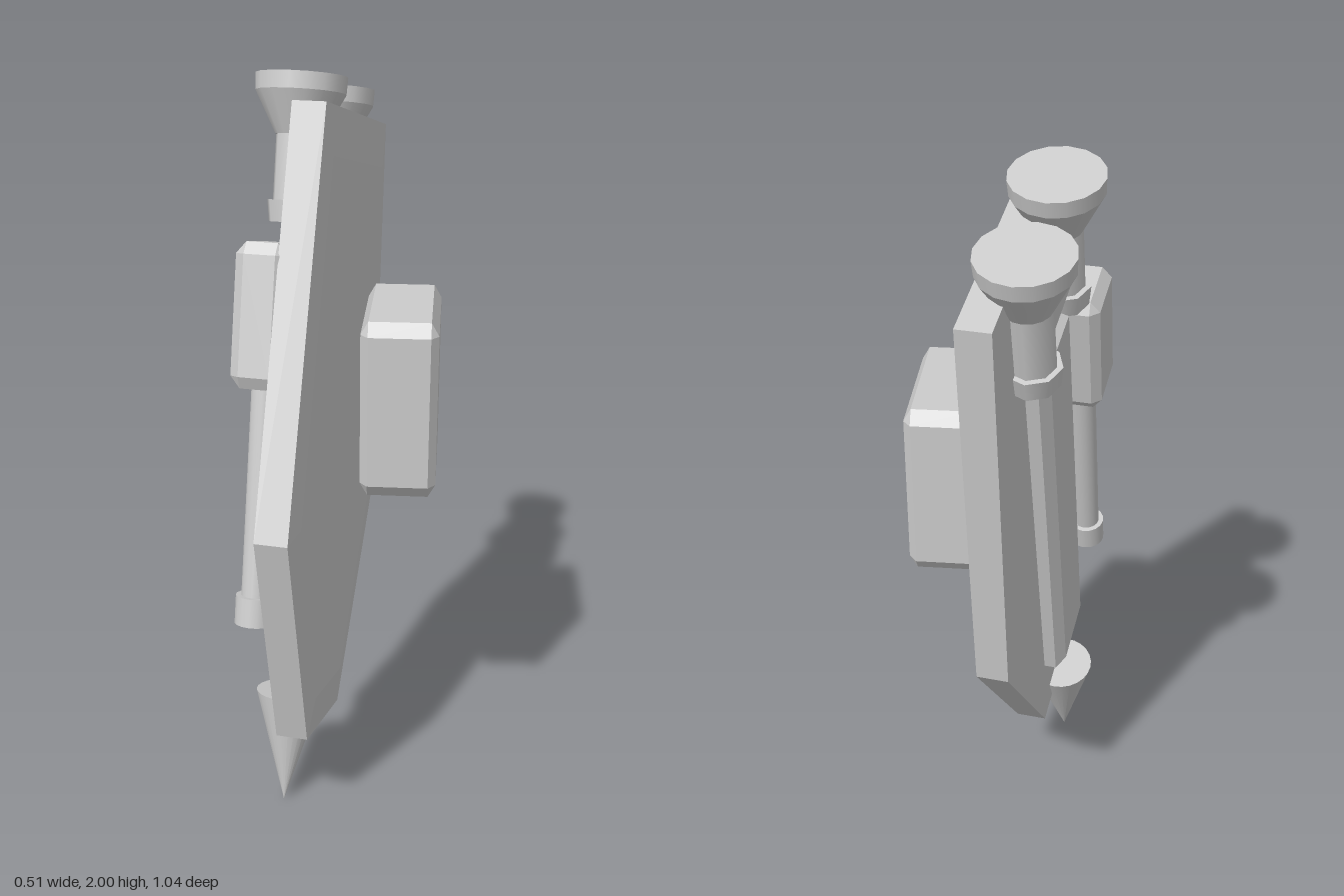
import * as THREE from 'three';
import { ConvexGeometry } from 'three/addons/geometries/ConvexGeometry.js';

export function createModel() {
  const model = new THREE.Group();
  model.name = 'model';
  const grey = new THREE.MeshStandardMaterial({ color: 0xcccccc });
  grey.name = 'light grey';

  const add = (parent, name, geometry, x = 0, y = 0, z = 0) => {
    const mesh = new THREE.Mesh(geometry, grey);
    mesh.name = name;
    mesh.position.set(x, y, z);
    parent.add(mesh);
    return mesh;
  };
  const cyl = (top, bottom, y0, y1, sides = 16) =>
    new THREE.CylinderGeometry(top, bottom, y1 - y0, sides).translate(0, (y0 + y1) / 2, 0);

  // Box with chamfered edges; the chamfer has its own depth on each axis
  const chamferBox = (w, h, d, cx, cy, cz) => {
    const pts = [];
    for (const sx of [-1, 1]) for (const sy of [-1, 1]) for (const sz of [-1, 1]) {
      const a = w / 2, b = h / 2, c = d / 2;
      pts.push(new THREE.Vector3(sx * a, sy * (b - cy), sz * (c - cz)));
      pts.push(new THREE.Vector3(sx * (a - cx), sy * b, sz * (c - cz)));
      pts.push(new THREE.Vector3(sx * (a - cx), sy * (b - cy), sz * c));
    }
    return new ConvexGeometry(pts);
  };

  // Floating bevelled block beside the hull
  add(model, 'sideBlock', chamferBox(0.2, 0.48, 0.393, 0.02, 0.035, 0.025), 0.15, 1.16, -0.021);

  // Everything else shares the tilt of the hull plate
  const ship = new THREE.Group();
  ship.name = 'tiltedHull';
  ship.rotation.set(-0.243, -0.168, 0, 'YXZ');
  ship.position.set(-0.015, 1.005, 0.02);
  model.add(ship);

  // Hexagonal hull plate, very slightly domed on its outer face
  const outline = [[0.88, 0.337], [-0.183, 0.47], [-0.782, 0.167]];
  const hull = [];
  for (const [y, z] of outline) for (const s of [-1, 1]) {
    hull.push(new THREE.Vector3(-0.086, y, s * z), new THREE.Vector3(0, y, s * z));
    hull.push(new THREE.Vector3(0.01, y * 0.86, s * z * 0.82));
  }
  add(ship, 'hullPlate', new ConvexGeometry(hull));

  // Long raised panel with sloping edges
  const panel = [];
  for (const y of [-1, 1]) for (const z of [-1, 1]) {
    panel.push(new THREE.Vector3(-0.08, y * 0.585, z * 0.13));
    panel.push(new THREE.Vector3(-0.12, y * 0.585, z * 0.13));
    panel.push(new THREE.Vector3(-0.145, y * 0.565, z * 0.1));
  }
  add(ship, 'spinePanel', new ConvexGeometry(panel), 0, 0.025, 0);

  // Two engines and the block joining them
  for (const s of [-1, 1]) {
    const engine = new THREE.Group();
    engine.name = s > 0 ? 'frontEngine' : 'backEngine';
    engine.position.set(-0.116, 0, s * 0.154);
    ship.add(engine);
    add(engine, 'nozzleRim', cyl(0.118, 0.116, 0.915, 0.957));
    add(engine, 'nozzleCone', cyl(0.116, 0.06, 0.81, 0.915));
    add(engine, 'engineBody', cyl(0.06, 0.06, 0.64, 0.81, 8));
    add(engine, 'engineBase', cyl(0.075, 0.068, 0.59, 0.645, 8));
  }
  add(ship, 'engineBridge', chamferBox(0.09, 0.16, 0.26, 0.02, 0.02, 0.02), -0.105, 0.735, 0);

  // Cannon along the front edge
  const cannon = new THREE.Group();
  cannon.name = 'cannon';
  cannon.position.set(-0.125, 0, 0.296);
  ship.add(cannon);
  add(cannon, 'cannonHousing', chamferBox(0.13, 0.36, 0.19, 0.025, 0.03, 0.02), -0.007, 0.36, 0);
  add(cannon, 'cannonBarrel', cyl(0.038, 0.038, -0.4, 0.2));
  add(cannon, 'cannonMuzzle', cyl(0.052, 0.052, -0.435, -0.36));

  // Nose spike
  add(ship, 'noseSpike', cyl(0.094, 0, -1.036, -0.71, 24), -0.1, 0, 0);

  return model;
}
